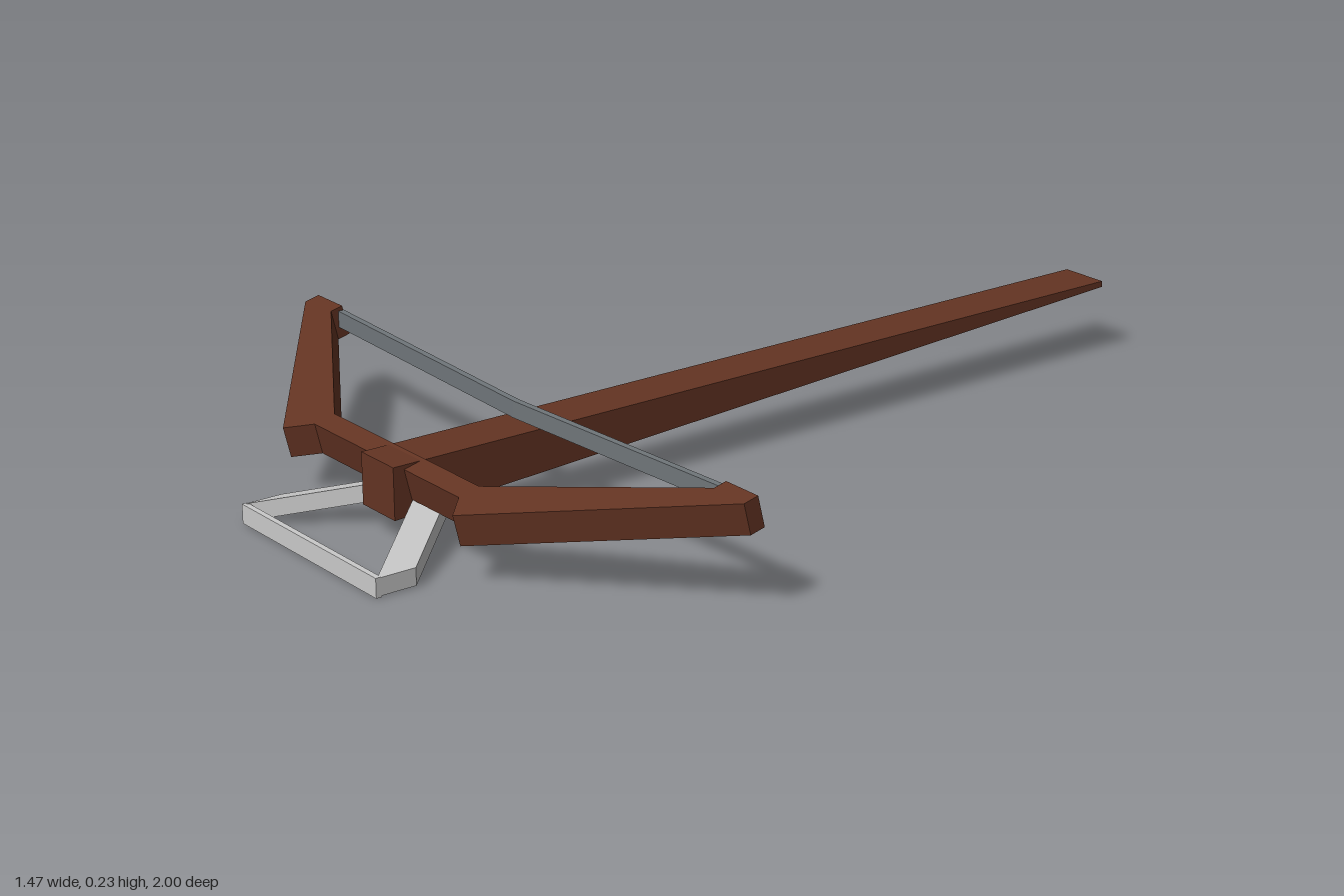
import * as THREE from 'three';

const wood = new THREE.MeshStandardMaterial({ color: 0x643423 });
wood.name = 'brown wood';
const cord = new THREE.MeshStandardMaterial({ color: 0x70767a });
cord.name = 'grey cord';
const metal = new THREE.MeshStandardMaterial({ color: 0xcacaca });
metal.name = 'light metal';

const CX = 0.01; // centre line of stock and stirrup

function part(parent, name, geometry, material) {
  const g = geometry.index ? geometry.toNonIndexed() : geometry;
  g.computeVertexNormals();
  const mesh = new THREE.Mesh(g, material);
  mesh.name = name;
  parent.add(mesh);
  return mesh;
}

function extrude(points, depth) {
  const shape = new THREE.Shape(points.map(([x, y]) => new THREE.Vector2(x, y)));
  return new THREE.ExtrudeGeometry(shape, { depth, bevelEnabled: false });
}

// moves every vertex by a rule
function warp(geometry, rule) {
  const p = geometry.attributes.position;
  const v = new THREE.Vector3();
  for (let i = 0; i < p.count; i++) {
    rule(v.fromBufferAttribute(p, i));
    p.setXYZ(i, v.x, v.y, v.z);
  }
  return geometry;
}

export function createModel() {
  const model = new THREE.Group();
  model.name = 'crossbow';

  // stock: side profile (z, y) tapering towards the back
  const stock = extrude([[-1, 0.15], [0.84, 0.056], [0.84, 0.163], [-1, 0.163]], 0.11);
  stock.rotateY(-Math.PI / 2).translate(CX + 0.055, 0, 0);
  part(model, 'stock', stock, wood);

  // bow: one half of the plan outline (x, distance behind the elbows), mirrored
  const front = [[0.247, 0.046], [0.292, 0], [0.732, 0.337], [0.732, 0.37]];
  const back = [[0.64, 0.37], [0.64, 0.342], [0.247, 0.093]];
  const half = [...front, ...back];
  const mirrored = half.map(([x, w]) => [-x - 0.003, w]).reverse();
  const bow = extrude([...half, ...mirrored], 0.066);
  bow.rotateX(-Math.PI / 2).rotateX(0.237).translate(0, 0.079, 0.845);
  part(model, 'bow', bow, wood);

  // bowstring: flat band dipping towards the middle
  const string = warp(new THREE.BoxGeometry(1.32, 0.035, 0.014, 2, 1, 1), (v) => {
    const t = Math.abs(v.x) / 0.66;
    v.y += 0.189 + 0.014 * t;
    v.z += 0.513 - 0.01 * t;
  });
  part(model, 'bowstring', string, cord);

  // stirrup: front bar, two slanting arms and a small frame under the stock
  const stirrup = new THREE.Group();
  stirrup.name = 'stirrup';
  model.add(stirrup);
  part(stirrup, 'stirrupFrontBar', new THREE.BoxGeometry(0.47, 0.04, 0.012), metal)
    .position.set(CX, 0.02, 0.994);
  for (const s of [-1, 1]) {
    const arm = warp(new THREE.BoxGeometry(0.18, 0.036, 0.085), (v) => {
      const t = 0.5 - (s * v.x) / 0.18; // 0 at the outer end, 1 at the stock
      v.x += CX + s * 0.145;
      v.y += 0.021 + 0.052 * t;
      v.z += 0.955 - 0.2 * t;
    });
    part(stirrup, s > 0 ? 'leftArm' : 'rightArm', arm, metal);
    part(stirrup, s > 0 ? 'leftRail' : 'rightRail', new THREE.BoxGeometry(0.01, 0.02, 0.17), metal)
      .position.set(CX + s * 0.05, 0.063, 0.715);
  }
  for (const z of [0.635, 0.71]) {
    part(stirrup, 'crossRail', new THREE.BoxGeometry(0.11, 0.02, 0.01), metal)
      .position.set(CX, 0.063, z);
  }
  return model;
}
